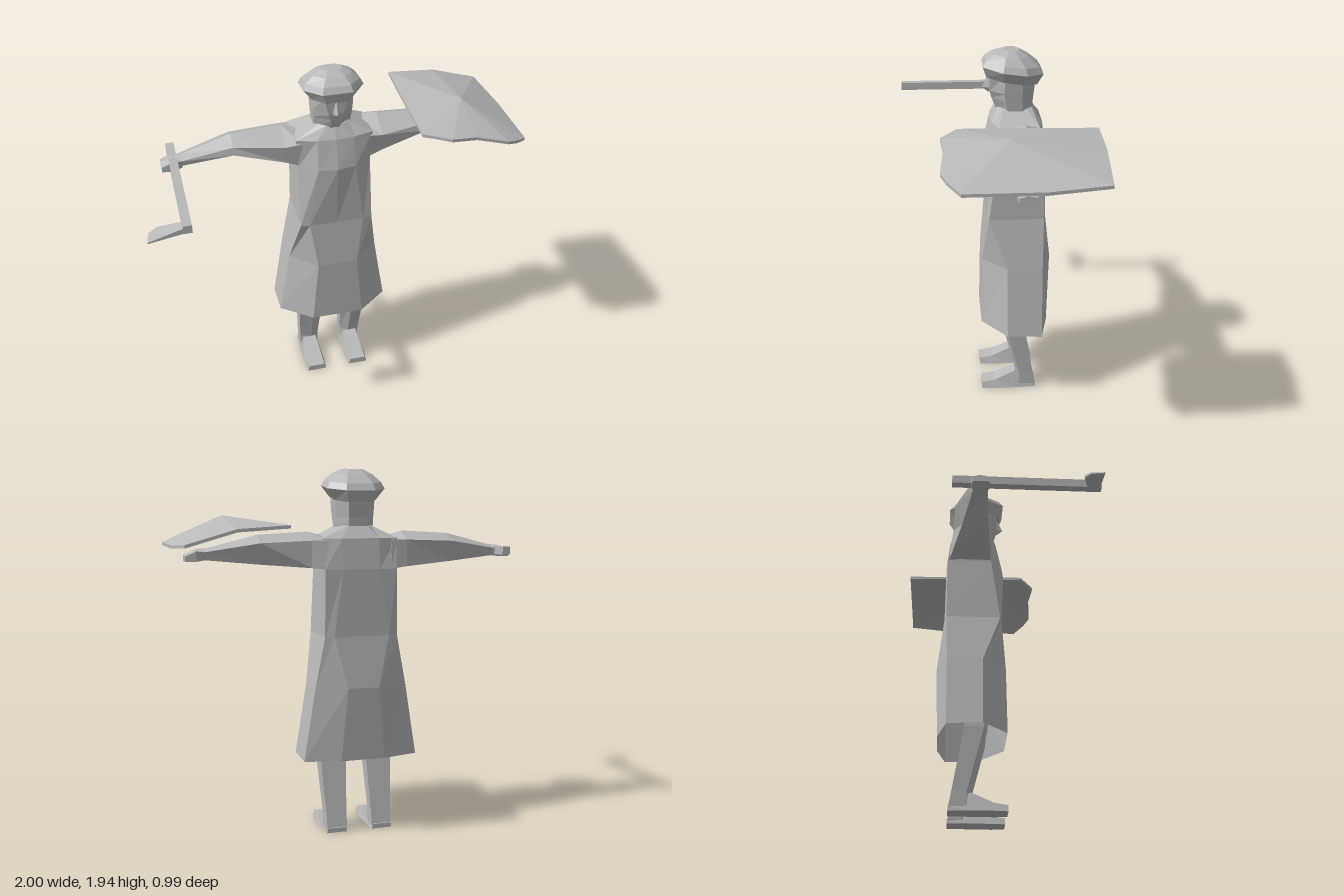
import * as THREE from 'three';

const CX = 0.03; // the figure's own centre line
const grey = new THREE.MeshStandardMaterial({ color: 0xb8b8b8, side: THREE.DoubleSide });
grey.name = 'plain grey';

// Skin rings of [x, y, z] (counter-clockwise seen from the last ring); mirror reflects across CX
function loft(name, rings, { mirror = false, start = true, end = true } = {}) {
  const rs = mirror ? rings.map(r => r.map(([x, y, z]) => [2 * CX - x, y, z]).reverse()) : rings;
  const n = rs[0].length, index = [];
  const pts = rs.flat();
  for (let k = 0; k < rs.length - 1; k++) {
    for (let i = 0; i < n; i++) {
      const a = k * n + i, b = k * n + (i + 1) % n;
      index.push(a, b, b + n, a, b + n, a + n);
    }
  }
  const last = (rs.length - 1) * n;
  for (let i = 1; i < n - 1; i++) {
    if (start) index.push(0, i + 1, i);
    if (end) index.push(last, last + i, last + i + 1);
  }
  const indexed = new THREE.BufferGeometry();
  indexed.setAttribute('position', new THREE.Float32BufferAttribute(pts.flat(), 3));
  indexed.setIndex(index);
  const geo = indexed.toNonIndexed();
  geo.computeVertexNormals();
  const mesh = new THREE.Mesh(geo, grey);
  mesh.name = name;
  return mesh;
}

// Symmetric horizontal ring from its +x half, listed front to back as [x, z]
function ring(y, half, tilt = 0) {
  const p = ([x, z], s) => [CX + s * x, y + tilt * (z + 0.11), z];
  const other = half.filter(([x]) => x > 0).reverse();
  return [...half.map(h => p(h, 1)), ...other.map(h => p(h, -1))];
}

// Flared hexagon-like coat section: front corner, two side corners, back corner
const coatRing = (y, mid, fx, fz, sx, sf, sb, bx, bz, tilt) =>
  ring(y, [[0, mid], [fx, fz], [sx, sf], [sx, sb], [bx, bz], [0, bz]], tilt);

// Eight-sided section
const octagon = (y, w, zf, zb, tilt = 0, fx = w * 0.5) => {
  const d = zf - zb;
  return ring(y, [[fx, zf], [w, zf - d * 0.32], [w, zb + d * 0.28], [w * 0.5, zb]], tilt);
};

// Arm section at x: lower back, upper back, ridge, upper front, lower front as [y, z]
const armRing = (x, pts) => pts.map(([y, z]) => [x, y, z]);

const box = (x0, x1, y, z0, z1) => [[x0, y, z1], [x1, y, z1], [x1, y, z0], [x0, y, z0]];

export function createModel() {
  const model = new THREE.Group();
  model.name = 'figure';

  // Long coat, open at the hem
  model.add(loft('coat', [
    coatRing(0.418, 0.06, 0.145, 0.06, 0.312, -0.075, -0.262, 0.12, -0.305, 0.04),
    coatRing(0.8, 0.055, 0.11, 0.055, 0.25, -0.075, -0.265, 0.085, -0.318),
    coatRing(1.07, 0.03, 0.15, 0.03, 0.198, 0.02, -0.272, 0.15, -0.282),
    coatRing(1.42, 0.05, 0.1, 0.035, 0.195, -0.03, -0.272, 0.1, -0.277),
    coatRing(1.58, 0.01, 0.1, 0.0, 0.205, -0.03, -0.24, 0.1, -0.26),
    coatRing(1.645, -0.03, 0.04, -0.035, 0.08, -0.06, -0.18, 0.05, -0.21),
  ], { start: false }));

  const arm = [
    armRing(0.2, [[1.42, -0.272], [1.57, -0.25], [1.59, -0.14], [1.56, -0.02], [1.42, -0.03]]),
    armRing(0.29, [[1.43, -0.25], [1.57, -0.245], [1.615, -0.16], [1.55, -0.025], [1.45, -0.04]]),
    armRing(0.555, [[1.45, -0.2], [1.56, -0.24], [1.6, -0.15], [1.56, -0.075], [1.52, -0.065]]),
    armRing(0.83, [[1.475, -0.155], [1.515, -0.165], [1.53, -0.125], [1.515, -0.08], [1.485, -0.085]]),
  ];
  const hand = [
    armRing(0.82, [[1.475, -0.15], [1.515, -0.16], [1.535, -0.12], [1.515, -0.08], [1.475, -0.085]]),
    armRing(0.87, [[1.468, -0.165], [1.52, -0.165], [1.53, -0.12], [1.52, -0.07], [1.468, -0.07]]),
    armRing(0.925, [[1.468, -0.16], [1.495, -0.16], [1.505, -0.12], [1.495, -0.075], [1.468, -0.075]]),
  ];
  for (const mirror of [false, true]) {
    const side = mirror ? 'right' : 'left';
    model.add(loft(side + 'Arm', arm, { mirror }));
    model.add(loft(side + 'Hand', hand, { mirror }));

    // Leg leaning back toward the heel, with a ridge down the front
    const legRing = (y, x0, x1, zf, zb, xr = 0.12) =>
      [[x0, y, zf - 0.035], [xr, y, zf], [x1, y, zf - 0.02], [x1, y, zb], [x0, y, zb]];
    model.add(loft(side + 'Leg', [
      legRing(0.02, 0.1, 0.21, -0.13, -0.243, 0.145),
      legRing(0.1, 0.1, 0.212, -0.13, -0.228, 0.145),
      legRing(0.44, 0.085, 0.23, -0.045, -0.168, 0.15),
      legRing(0.8, 0.07, 0.22, -0.02, -0.14, 0.15),
    ], { mirror }));

    // Wedge-shaped shoe, lofted from heel to toe
    const shoeRing = (z, w, w2, h) =>
      [[0.157 - w, 0, z], [0.157 + w, 0, z], [0.157 + w2, h, z], [0.157 - w2, h, z]];
    model.add(loft(side + 'Foot', [
      shoeRing(-0.245, 0.055, 0.052, 0.025),
      shoeRing(-0.13, 0.06, 0.035, 0.1),
      shoeRing(-0.01, 0.062, 0.045, 0.045),
      shoeRing(0.06, 0.055, 0.045, 0.035),
    ], { mirror }));
  }

  // Head and neck, narrowing to the chin
  model.add(loft('head', [
    octagon(1.6, 0.095, -0.04, -0.21, 0, 0.02),
    octagon(1.69, 0.102, -0.002, -0.215, 0, 0.025),
    octagon(1.73, 0.105, 0.008, -0.22, 0, 0.04),
    octagon(1.83, 0.11, 0.01, -0.23, 0, 0.065),
  ]));
  const noseRing = (y, w, z) => [[CX, y, z], [CX + w, y, -0.01], [CX - w, y, -0.01]];
  model.add(loft('nose', [noseRing(1.715, 0.022, 0.015), noseRing(1.74, 0.025, 0.045), noseRing(1.81, 0.012, 0.015)]));

  // Soft cap: flared band and low crown, tipped toward the back
  model.add(loft('cap', [
    octagon(1.785, 0.112, 0.025, -0.235, 0.16),
    octagon(1.845, 0.157, 0.045, -0.265, 0.13),
    octagon(1.878, 0.14, 0.025, -0.245, 0.13),
    octagon(1.915, 0.1, -0.015, -0.19, 0.1),
    octagon(1.938, 0.055, -0.065, -0.145, 0.06),
  ]));

  // Domed shield lying over the left arm; outline as [x, z]
  const rim = [[0.565, 0.27], [0.7, 0.258], [0.87, 0.275], [0.93, 0.245], [1.0, 0.185], [1.0, -0.2],
    [0.97, -0.49], [0.72, -0.497], [0.46, -0.5], [0.445, -0.15], [0.435, 0.185], [0.49, 0.22]];
  const shieldRing = (s, lift, drop) => rim.map(([x, z]) => {
    const px = 0.72 + (x - 0.72) * s, pz = -0.05 + (z + 0.05) * s;
    const bow = 0.035 * Math.max(0, 1 - ((x - 0.72) / 0.28) ** 2) * s;
    return [px, 1.605 - 0.18 * (px - 0.72) + bow + lift - drop, pz];
  });
  model.add(loft('shield', [
    shieldRing(0.01, 0.093, 0.02), shieldRing(1, 0, 0.016),
    shieldRing(1, 0, 0), shieldRing(0.01, 0.093, 0),
  ]));

  // Axe held out forward in the right hand
  model.add(loft('axeHandle', [box(-0.825, -0.782, 1.482, -0.26, 0.49), box(-0.825, -0.782, 1.525, -0.26, 0.49)]));
  const blade = [[-0.995, 0.478], [-0.82, 0.478], [-0.79, 0.46], [-0.8, 0.425], [-0.83, 0.418], [-0.94, 0.385], [-0.985, 0.41]];
  const bladeRing = t => blade.map(([x, z]) => [x, 1.447 + 0.2 * (x + 0.995) + t * (x + 1.05), z]);
  model.add(loft('axeBlade', [bladeRing(-0.03), bladeRing(0.1)]));

  return model;
}
